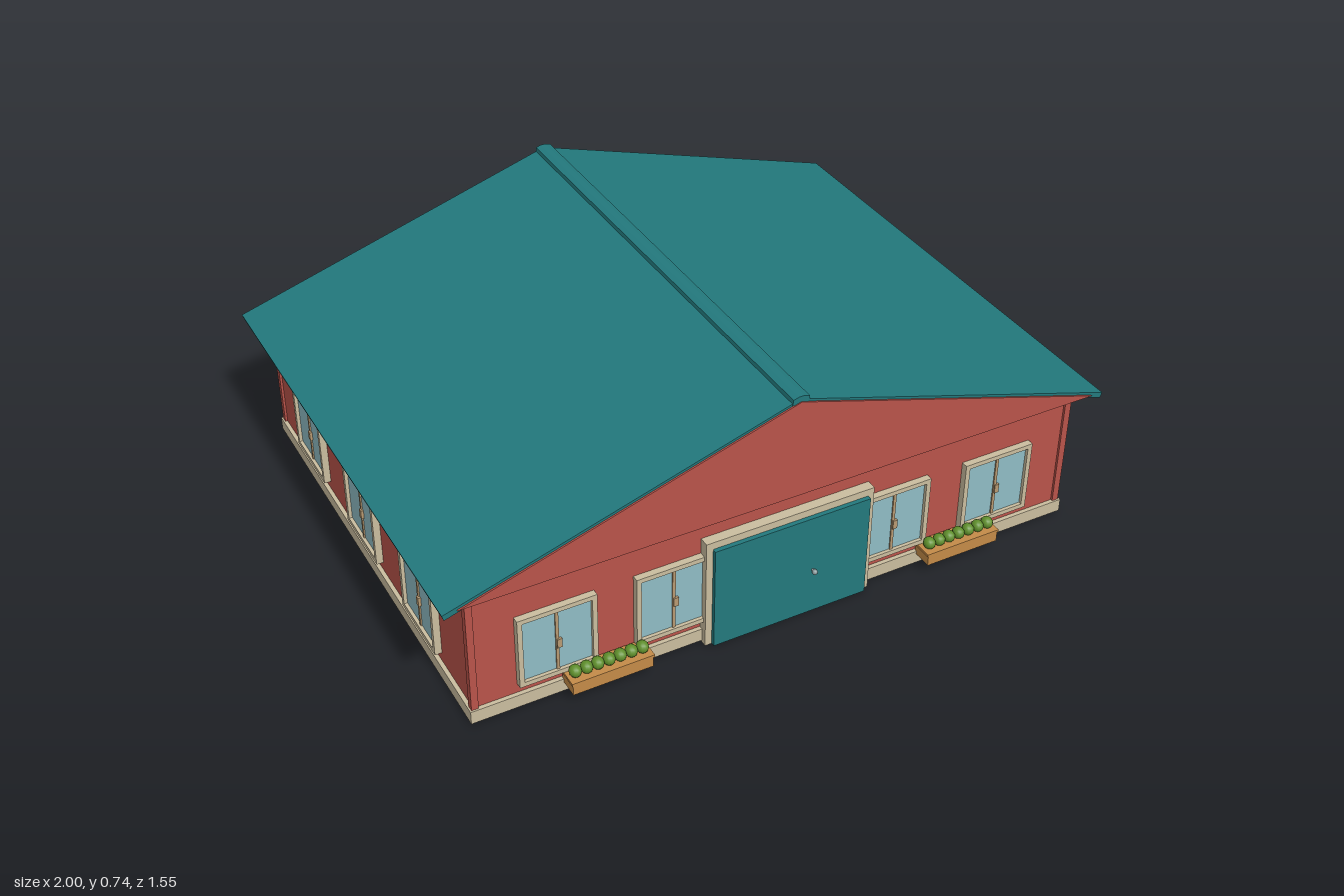
import * as THREE from 'three';

const paint = (name, color) => Object.assign(new THREE.MeshStandardMaterial({ color }), { name });

export function createModel() {
  const red = paint('barn red', 0xb9534a);
  const teal = paint('roof teal', 0x23797d);
  const cream = paint('cream trim', 0xcabd9f);
  const glass = paint('window glass', 0x8fbcc4);
  const tan = paint('tan mullion', 0xb89a72);
  const wood = paint('planter wood', 0xc48b48);
  const leaf = paint('leaf green', 0x5f8f2b);
  const metal = paint('handle metal', 0x8a9a9c);

  const model = new THREE.Group();
  model.name = 'gabledBuilding';

  const add = (parent, name, geometry, material, x = 0, y = 0, z = 0) => {
    const mesh = new THREE.Mesh(geometry, material);
    mesh.name = name;
    mesh.position.set(x, y, z);
    parent.add(mesh);
    return mesh;
  };
  const box = (parent, name, material, w, h, d, x, y, z) =>
    add(parent, name, new THREE.BoxGeometry(w, h, d), material, x, y, z);
  const polygon = (points) => new THREE.Shape(points.map(([x, y]) => new THREE.Vector2(x, y)));
  const extrude = (shape, depth) => new THREE.ExtrudeGeometry(shape, { depth, bevelEnabled: false });
  const rect = (w, h) => polygon([[-w / 2, -h / 2], [w / 2, -h / 2], [w / 2, h / 2], [-w / 2, h / 2]]);
  const frameShape = (w, h, t) => {
    const shape = rect(w, h);
    shape.holes.push(rect(w - 2 * t, h - 2 * t));
    return shape;
  };

  // Hollow wall shell and plinth, both open underneath
  const ring = (name, material, w, d, t, y0, y1, z) => {
    const geometry = extrude(frameShape(w, d, t), y1 - y0).rotateX(-Math.PI / 2);
    add(model, name, geometry, material, 0, y0, z);
  };
  ring('walls', red, 1.84, 1.43, 0.015, 0.04, 0.437, -0.01);
  ring('plinth', cream, 1.864, 1.455, 0.035, 0.01, 0.05, -0.01);
  for (const x of [-0.917, 0.917]) {
    for (const z of [-0.722, 0.702]) box(model, 'cornerPost', red, 0.02, 0.38, 0.02, x, 0.24, z);
  }

  // Gable ends
  const gable = polygon([[-0.96, 0.432], [0.96, 0.432], [0, 0.731]]);
  add(model, 'frontGable', extrude(gable, 0.065), red, 0, 0, 0.69);
  add(model, 'backGable', extrude(gable, 0.065), red, 0, 0, -0.776);

  // Two roof slopes and the ridge cap
  const roofDepth = 1.52;
  for (const s of [-1, 1]) {
    const points = [[0, 0.72], [s * 0.995, 0.412], [s, 0.428], [0, 0.738]];
    add(model, s < 0 ? 'rightRoof' : 'leftRoof', extrude(polygon(points), roofDepth), teal, 0, 0, -0.77);
  }
  const cap = polygon([[-0.026, 0.725], [0.026, 0.725], [0.024, 0.742], [0.008, 0.747], [-0.008, 0.747], [-0.024, 0.742]]);
  add(model, 'ridgeCap', extrude(cap, roofDepth + 0.004), teal, 0, 0, -0.772);

  // Windows face +z locally, then turn to their wall
  const addWindow = (x, z, angle) => {
    const group = new THREE.Group();
    group.name = 'window';
    add(group, 'windowFrame', extrude(frameShape(0.225, 0.224, 0.014), 0.022), cream);
    box(group, 'windowGlass', glass, 0.2, 0.2, 0.008, 0, 0, 0.008);
    box(group, 'windowMullion', tan, 0.009, 0.2, 0.014, 0, 0, 0.009);
    box(group, 'windowLatch', tan, 0.014, 0.028, 0.008, 0.005, -0.01, 0.016);
    group.position.set(x, 0.192, z);
    group.rotation.y = angle;
    model.add(group);
  };
  for (const x of [-0.683, -0.345, 0.34, 0.682]) addWindow(x, 0.703, 0);
  for (const x of [-0.683, -0.342, 0, 0.342, 0.683]) addWindow(x, -0.723, Math.PI);
  for (const z of [-0.435, -0.02, 0.395]) {
    addWindow(0.918, z, Math.PI / 2);
    addWindow(-0.918, z, -Math.PI / 2);
  }

  // Wide front door with its surround and handle
  const surround = polygon([[-0.259, 0.004], [-0.238, 0.004], [-0.238, 0.33], [0.238, 0.33],
    [0.238, 0.004], [0.257, 0.004], [0.257, 0.352], [-0.259, 0.352]]);
  add(model, 'doorSurround', extrude(surround, 0.035), cream, 0, 0, 0.7);
  box(model, 'door', teal, 0.478, 0.324, 0.045, 0, 0.167, 0.725);
  const stem = add(model, 'doorHandleStem', new THREE.CylinderGeometry(0.005, 0.005, 0.014, 10), metal, 0.065, 0.15, 0.752);
  stem.rotation.x = Math.PI / 2;
  add(model, 'doorHandle', new THREE.SphereGeometry(0.008, 12, 8), metal, 0.065, 0.15, 0.758);

  // Flower boxes with a row of clipped plants
  for (const x of [-0.552, 0.547]) {
    const planter = new THREE.Group();
    planter.name = 'planter';
    planter.position.set(x, 0, 0.742);
    box(planter, 'planterBox', wood, 0.234, 0.038, 0.064, 0, 0.059, 0);
    box(planter, 'planterRim', wood, 0.24, 0.008, 0.068, 0, 0.076, 0);
    for (let i = 0; i < 7; i++) {
      const plant = add(planter, 'plant', new THREE.SphereGeometry(0.0175, 12, 8), leaf, (i - 3) * 0.0325, 0.095, 0.005);
      plant.scale.z = 1.1;
    }
    model.add(planter);
  }
  return model;
}
